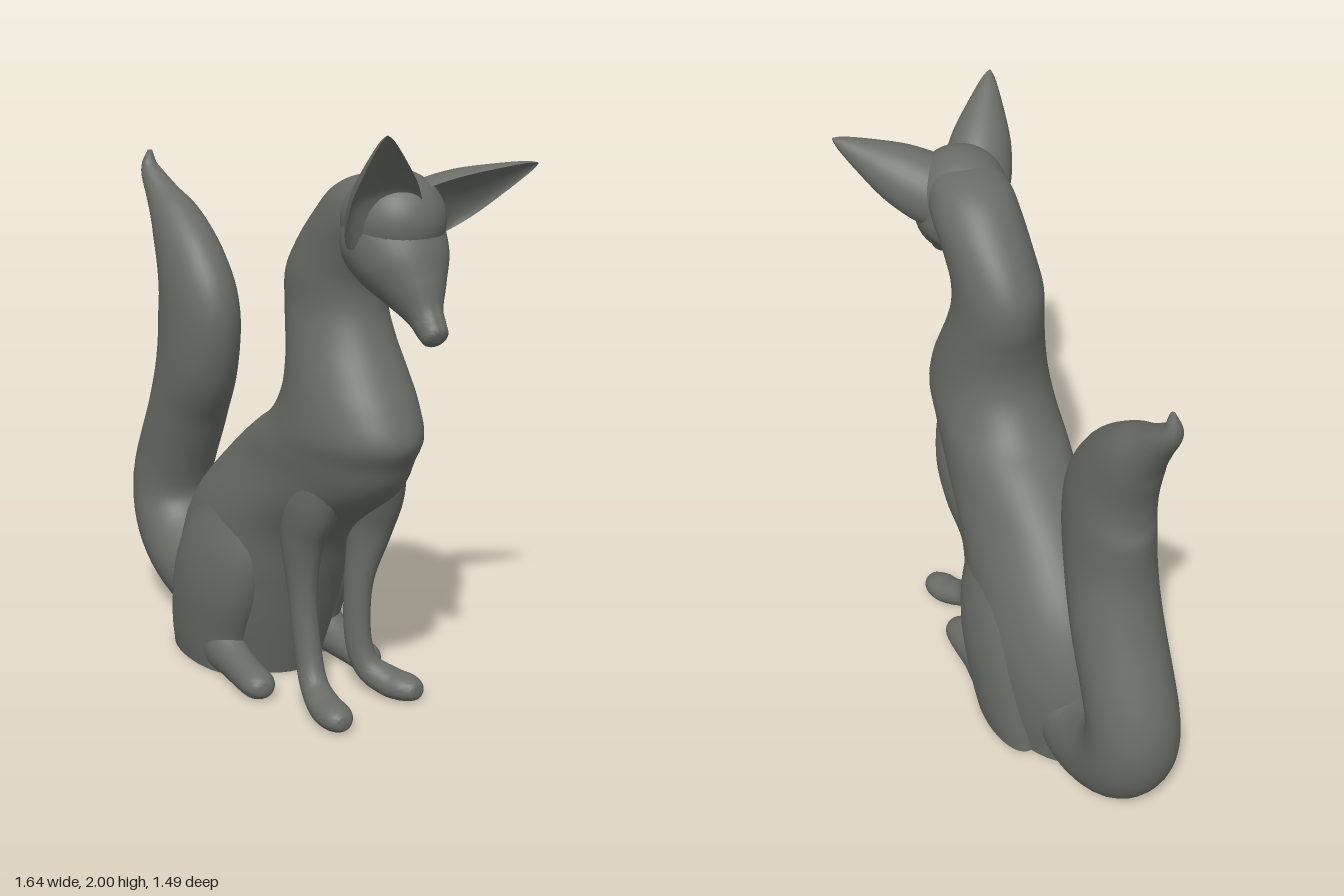
import * as THREE from 'three';
import { toCreasedNormals } from 'three/addons/utils/BufferGeometryUtils.js';

const V = (x, y, z) => new THREE.Vector3(x, y, z);

// Skin a list of closed rings (arrays of Vector3) and cap both ends.
function skin(rings) {
  const n = rings[0].length, pos = [], idx = [];
  for (const ring of rings) for (const p of ring) pos.push(p.x, Math.max(p.y, 0), p.z);
  for (let i = 0; i < rings.length - 1; i++) for (let j = 0; j < n; j++) {
    const a = i * n + j, b = i * n + (j + 1) % n;
    idx.push(a, b, a + n, b, b + n, a + n);
  }
  [0, rings.length - 1].forEach((r, end) => {
    const c = V(0, 0, 0);
    rings[r].forEach(p => c.add(p));
    c.divideScalar(n);
    const k = pos.length / 3;
    pos.push(c.x, Math.max(c.y, 0), c.z);
    for (let j = 0; j < n; j++) {
      const a = r * n + j, b = r * n + (j + 1) % n;
      if (end) idx.push(k, a, b); else idx.push(k, b, a);
    }
  });
  const g = new THREE.BufferGeometry();
  g.setAttribute('position', new THREE.Float32BufferAttribute(pos, 3));
  g.setIndex(idx);
  return toCreasedNormals(g, 1.0);
}

// Smooth loft through rows of [x, y, z, halfWidth, halfDepth].
// With level = true the rings stay horizontal, otherwise they follow the path.
function loft(rows, level = false, sides = 36, per = 6) {
  const path = new THREE.CatmullRomCurve3(rows.map(r => V(r[0], r[1], r[2])), false, 'catmullrom');
  const size = new THREE.CatmullRomCurve3(rows.map(r => V(r[3], r[4], 0)), false, 'catmullrom');
  const steps = (rows.length - 1) * per, rings = [];
  for (let i = 0; i <= steps; i++) {
    const t = i / steps, c = path.getPoint(t), s = size.getPoint(t);
    const T = level ? V(0, 1, 0) : path.getTangent(t);
    const X = V(1, 0, 0).addScaledVector(T, -T.x).normalize();
    const N = T.clone().cross(X);
    const ring = [];
    for (let j = 0; j < sides; j++) {
      const a = j / sides * Math.PI * 2;
      ring.push(c.clone()
        .addScaledVector(X, Math.max(s.x, 0.002) * Math.cos(a))
        .addScaledVector(N, Math.max(s.y, 0.002) * Math.sin(a)));
    }
    rings.push(ring);
  }
  return skin(rings);
}

// Pointed ear with a hollow front that fades out towards the head.
function ear(base, tip, open) {
  const T = tip.clone().sub(base).normalize();
  const F = open.clone().addScaledVector(T, -open.dot(T)).normalize();
  const W = F.clone().cross(T);
  const width = new THREE.SplineCurve([[0, 0.12], [0.2, 0.122], [0.45, 0.104], [0.7, 0.066], [0.92, 0.026], [1, 0.003]]
    .map(p => new THREE.Vector2(...p)));
  const rings = [];
  for (let i = 0; i <= 20; i++) {
    const p = width.getPoint(i / 20), ring = [];
    const hollow = Math.min(1, p.x / 0.35) * 0.75 - 0.3;
    for (let j = 0; j < 32; j++) {
      const a = j / 32 * Math.PI * 2, s = Math.sin(a);
      ring.push(base.clone().lerp(tip, p.x)
        .addScaledVector(W, p.y * Math.cos(a))
        .addScaledVector(F, p.y * 0.85 * (s > 0 ? -hollow * s : s)));
    }
    rings.push(ring);
  }
  return skin(rings);
}

export function createModel() {
  const model = new THREE.Group();
  model.name = 'sittingFox';
  const stone = new THREE.MeshStandardMaterial({ color: 0x686b66 });
  stone.name = 'greyStone';
  const fox = new THREE.Group();
  fox.name = 'fox';
  fox.rotation.y = Math.PI / 4; // the fox sits diagonally
  model.add(fox);
  const add = (name, geometry) => {
    const m = new THREE.Mesh(geometry, stone);
    m.name = name;
    fox.add(m);
    return m;
  };

  // Body, chest and neck in one sweep up to the back of the head
  add('bodyAndNeck', loft([
    [-0.03, 0, -0.28, 0.22, 0.32], [-0.03, 0.2, -0.25, 0.26, 0.36], [-0.03, 0.4, -0.2, 0.27, 0.385],
    [-0.03, 0.6, -0.1, 0.25, 0.39], [-0.02, 0.8, 0.13, 0.22, 0.425], [-0.02, 0.92, 0.25, 0.215, 0.38],
    [-0.02, 1.0, 0.33, 0.212, 0.335], [-0.02, 1.1, 0.35, 0.2, 0.275], [-0.02, 1.2, 0.33, 0.185, 0.23],
    [-0.02, 1.3, 0.295, 0.168, 0.207], [-0.02, 1.4, 0.268, 0.154, 0.202], [-0.02, 1.5, 0.275, 0.152, 0.205],
    [-0.01, 1.6, 0.335, 0.15, 0.215], [0, 1.7, 0.42, 0.15, 0.215], [0, 1.78, 0.47, 0.13, 0.175],
    [0, 1.825, 0.5, 0.08, 0.11], [0, 1.84, 0.52, 0.01, 0.01],
  ], true, 48));

  // Rounded crown between the ears
  const crown = add('crown', new THREE.SphereGeometry(1, 40, 28));
  crown.scale.set(0.16, 0.155, 0.175);
  crown.position.set(0, 1.708, 0.56);

  // Head tapering down to the nose
  add('head', loft([
    [0, 1.72, 0.4, 0.03, 0.03], [0, 1.7, 0.46, 0.12, 0.12], [0, 1.66, 0.54, 0.165, 0.16],
    [0, 1.58, 0.625, 0.15, 0.14], [0, 1.505, 0.69, 0.1, 0.1], [0, 1.44, 0.742, 0.056, 0.062],
    [0, 1.4, 0.778, 0.047, 0.049], [0, 1.378, 0.803, 0.038, 0.038], [0, 1.368, 0.815, 0.005, 0.005],
  ]));

  // Ears: the left one leans outward, the right one points up
  add('leftEar', ear(V(0.05, 1.685, 0.56), V(0.39, 1.875, 0.77), V(0.2, -0.35, 0.85)));
  add('rightEar', ear(V(-0.065, 1.66, 0.61), V(-0.21, 2.0, 0.835), V(-0.2, -0.35, 0.85)));

  // Closed eyelids
  for (const side of [1, -1]) {
    const lid = add(side > 0 ? 'leftEyelid' : 'rightEyelid', new THREE.SphereGeometry(1, 20, 14));
    lid.scale.set(0.016, 0.012, 0.034);
    lid.position.set(side * 0.092, 1.552, 0.695);
    lid.rotation.set(0.5, -side * 0.6, 0);
  }

  // Front legs with paws, rising into the shoulders
  add('rightFrontLeg', loft([
    [-0.08, 1.12, 0.35, 0.03, 0.05], [-0.105, 0.92, 0.345, 0.085, 0.13], [-0.13, 0.76, 0.3, 0.085, 0.13],
    [-0.14, 0.6, 0.255, 0.067, 0.098], [-0.138, 0.4, 0.255, 0.048, 0.058], [-0.135, 0.2, 0.285, 0.045, 0.052],
    [-0.14, 0.09, 0.335, 0.048, 0.05], [-0.15, 0.048, 0.42, 0.058, 0.05], [-0.155, 0.042, 0.5, 0.058, 0.046],
    [-0.157, 0.04, 0.545, 0.035, 0.03], [-0.157, 0.04, 0.555, 0.005, 0.005],
  ]));
  add('leftFrontLeg', loft([
    [0.05, 1.12, 0.35, 0.03, 0.05], [0.08, 0.92, 0.35, 0.085, 0.13], [0.115, 0.76, 0.31, 0.085, 0.13],
    [0.118, 0.6, 0.275, 0.067, 0.098], [0.085, 0.4, 0.26, 0.048, 0.058], [0.08, 0.2, 0.265, 0.045, 0.052],
    [0.1, 0.09, 0.3, 0.048, 0.05], [0.145, 0.048, 0.37, 0.058, 0.05], [0.175, 0.042, 0.43, 0.058, 0.046],
    [0.19, 0.04, 0.475, 0.035, 0.03], [0.193, 0.04, 0.485, 0.005, 0.005],
  ]));

  // Haunches with forward knees, and hind feet
  for (const side of [1, -1]) {
    const label = side > 0 ? 'left' : 'right', x = v => -0.035 + side * v;
    add(label + 'Haunch', loft([
      [x(0.19), 0, -0.26, 0.09, 0.22], [x(0.19), 0.12, -0.25, 0.11, 0.22], [x(0.185), 0.3, -0.2, 0.125, 0.245],
      [x(0.175), 0.45, -0.16, 0.118, 0.24], [x(0.155), 0.58, -0.125, 0.098, 0.2],
      [x(0.13), 0.69, -0.08, 0.075, 0.13], [x(0.1), 0.77, -0.04, 0.01, 0.02],
    ], true));
    add(label + 'HindFoot', loft([
      [x(0.18), 0.1, -0.32, 0.03, 0.04], [x(0.2), 0.09, -0.16, 0.075, 0.1], [x(0.21), 0.06, -0.02, 0.062, 0.07],
      [x(0.218), 0.05, 0.08, 0.06, 0.058], [x(0.22), 0.045, 0.16, 0.058, 0.05],
      [x(0.22), 0.042, 0.2, 0.035, 0.03], [x(0.22), 0.042, 0.21, 0.005, 0.005],
    ]));
  }

  // Tail sweeping back and up to a curled tip
  add('tail', loft([
    [-0.03, 0.2, -0.28, 0.1, 0.1], [-0.03, 0.18, -0.45, 0.15, 0.17], [-0.04, 0.165, -0.62, 0.165, 0.168],
    [-0.05, 0.28, -0.82, 0.165, 0.165],
    [-0.05, 0.48, -0.885, 0.155, 0.158], [-0.04, 0.8, -0.755, 0.15, 0.16], [-0.045, 1.0, -0.67, 0.142, 0.19],
    [-0.046, 1.2, -0.647, 0.135, 0.205], [-0.052, 1.35, -0.685, 0.122, 0.165], [-0.06, 1.5, -0.78, 0.098, 0.108],
    [-0.075, 1.6, -0.87, 0.064, 0.062], [-0.088, 1.69, -0.945, 0.036, 0.034], [-0.085, 1.76, -0.95, 0.008, 0.008],
  ]));

  return model;
}
